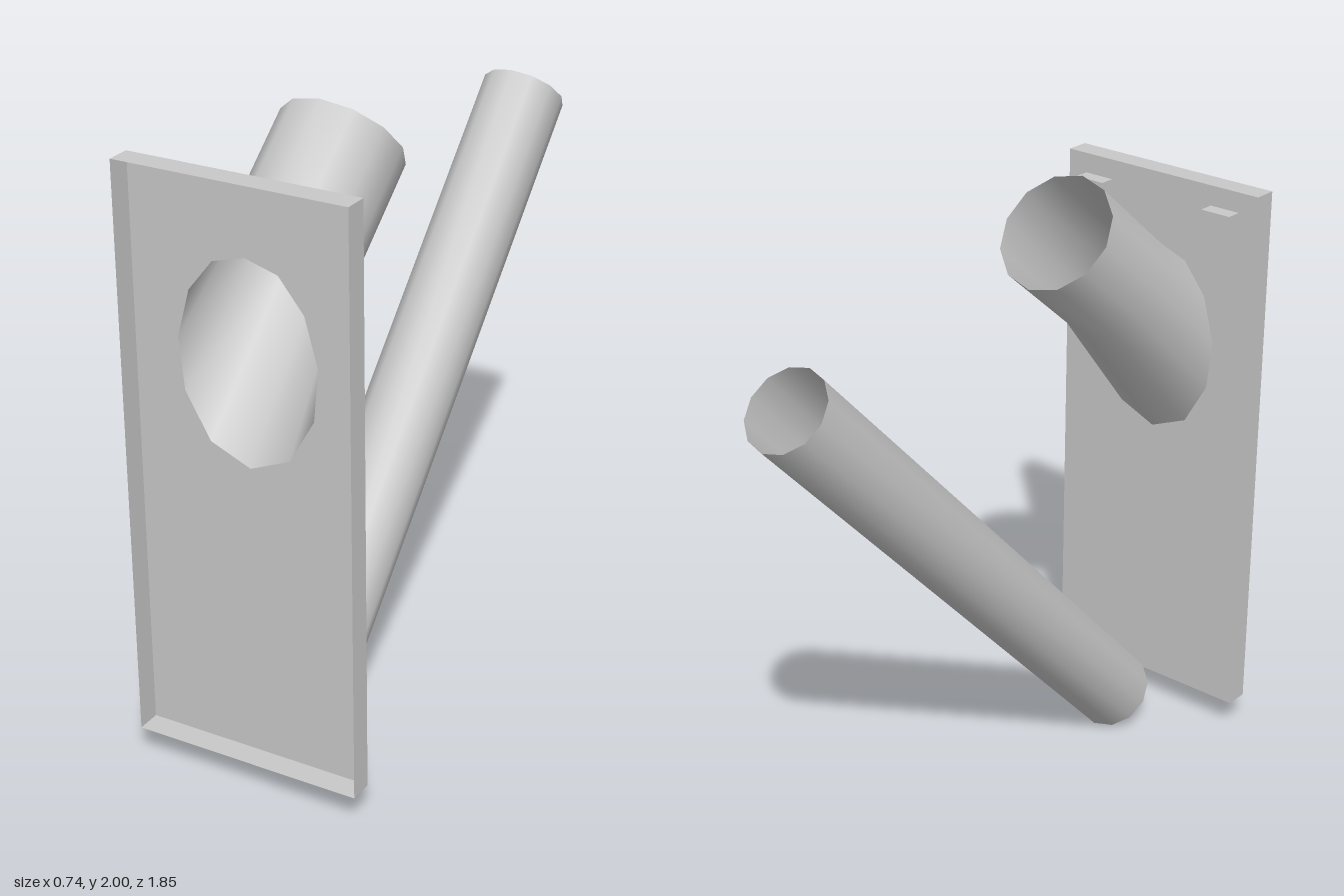
import * as THREE from 'three';

const SIDES = 12;

// Twelve-sided ring in a plane leaning along the y-z direction from low to high
function ring(low, high) {
  const cy = (low[0] + high[0]) / 2, cz = (low[1] + high[1]) / 2;
  const hy = (high[0] - low[0]) / 2, hz = (high[1] - low[1]) / 2;
  const r = Math.hypot(hy, hz);
  return Array.from({ length: SIDES }, (_, i) => {
    const a = (i / SIDES) * Math.PI * 2;
    return [r * Math.sin(a), cy + hy * Math.cos(a), cz + hz * Math.cos(a)];
  });
}

// Smooth open tube through a list of rings, ordered front to back
function loft(rings) {
  const index = [];
  for (let k = 0; k < rings.length - 1; k++) {
    for (let i = 0; i < SIDES; i++) {
      const j = (i + 1) % SIDES;
      const a = k * SIDES + i, b = k * SIDES + j;
      index.push(a, b, a + SIDES, b, b + SIDES, a + SIDES);
    }
  }
  const geo = new THREE.BufferGeometry();
  geo.setAttribute('position', new THREE.Float32BufferAttribute(rings.flat(2), 3));
  geo.setIndex(index);
  geo.computeVertexNormals();
  return geo;
}

export function createModel() {
  const group = new THREE.Group();
  const grey = new THREE.MeshStandardMaterial({ color: 0xc8c8c8, side: THREE.DoubleSide });
  grey.name = 'light grey';
  const add = (name, geo, parent = group) => {
    const mesh = new THREE.Mesh(geo, grey);
    mesh.name = name;
    parent.add(mesh);
    return mesh;
  };

  const W = 0.37, Y0 = 0.10, Y1 = 1.91, BACK = 0.85, FRONT = 0.926;
  const H = Y1 - Y0, D = FRONT - BACK;

  // Oval opening where the chute meets the panel
  const half = [[0, 1.67], [0.105, 1.64], [0.185, 1.54], [0.226, 1.39],
    [0.21, 1.23], [0.13, 1.09], [0, 1.035]];
  const oval = [...half, ...half.slice(1, -1).reverse().map(([x, y]) => [-x, y])];

  // Shallow panel, open at the front: holed back sheet and four rims
  const panel = new THREE.Group();
  panel.name = 'panel';
  group.add(panel);
  const sheet = new THREE.Shape([
    new THREE.Vector2(-W, Y0), new THREE.Vector2(W, Y0),
    new THREE.Vector2(W, Y1), new THREE.Vector2(-W, Y1)]);
  sheet.holes.push(new THREE.Path(oval.map(([x, y]) => new THREE.Vector2(x, y))));
  add('panelBack', new THREE.ShapeGeometry(sheet).translate(0, 0, BACK), panel);
  const midY = (Y0 + Y1) / 2, midZ = (BACK + FRONT) / 2;
  for (const s of [-1, 1]) {
    add(s > 0 ? 'leftRim' : 'rightRim',
      new THREE.PlaneGeometry(D, H).rotateY(s * Math.PI / 2).translate(s * W, midY, midZ), panel);
    add(s > 0 ? 'topRim' : 'bottomRim',
      new THREE.PlaneGeometry(2 * W, D).rotateX(-s * Math.PI / 2)
        .translate(0, midY + s * H / 2, midZ), panel);

    // Small mounting blocks at the upper corners of the back
    add(s > 0 ? 'leftBlock' : 'rightBlock',
      new THREE.BoxGeometry(0.106, 0.105, 0.05).translate(s * 0.248, 1.792, 0.825));
  }

  // Flared chute rising backwards from the panel
  add('chute', loft([
    oval.map(([x, y]) => [x, y, BACK]),
    ring([1.46, 0.49], [1.755, 0.74]),
    ring([1.705, 0.20], [2.0, 0.45])]));

  // Long sloping pipe behind
  add('pipe', loft([
    ring([0, 0.575], [0.192, 0.765]),
    ring([1.563, -0.925], [1.753, -0.732])]));

  return group;
}
